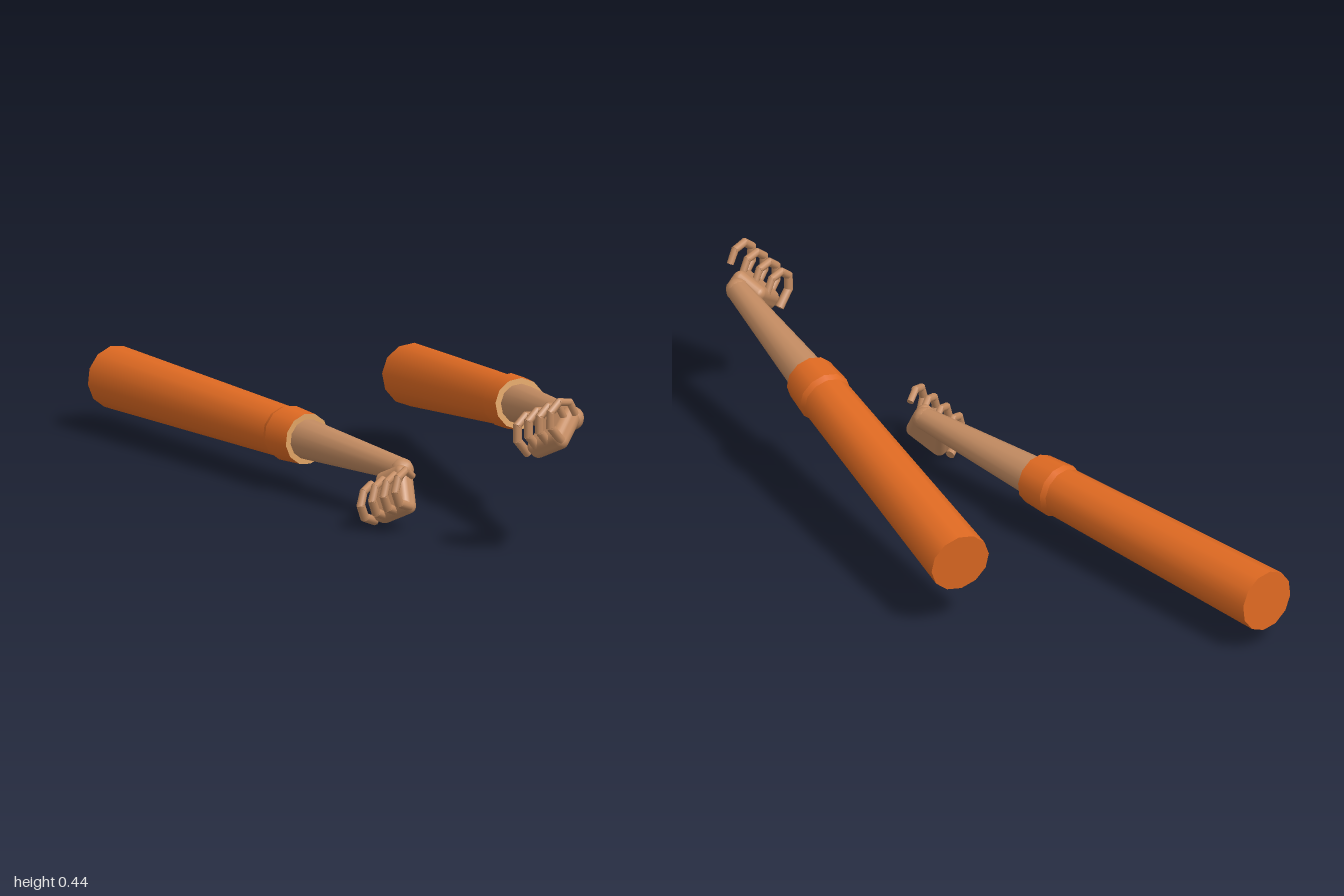
import * as THREE from 'three';
import { RoundedBoxGeometry } from 'three/addons/geometries/RoundedBoxGeometry.js';

const V = (x, y, z) => new THREE.Vector3(x, y, z);
const UP = V(0, 1, 0);
const SIDES = 12;

const paint = (name, color) => Object.assign(new THREE.MeshStandardMaterial({ color }), { name });

function part(name, geometry, material, parent) {
  const mesh = new THREE.Mesh(geometry, material);
  mesh.name = name;
  parent.add(mesh);
  return mesh;
}

// Tapered tube running along +y from y0 to y1
function taper(r0, r1, y0, y1, open = true) {
  return new THREE.CylinderGeometry(r1, r0, y1 - y0, SIDES, 1, open).translate(0, (y0 + y1) / 2, 0);
}

// Sleeve, cuff and forearm between a shoulder point and a wrist point
function buildArm(shoulder, wrist, mats) {
  const arm = new THREE.Group();
  arm.name = 'arm';
  const along = wrist.clone().sub(shoulder);
  const length = along.length();
  const cuff = 0.895;
  part('sleeve', taper(0.083, 0.067, 0, 0.8), mats.sleeve, arm);
  part('sleeveEnd', new THREE.CircleGeometry(0.083, SIDES).rotateX(Math.PI / 2), mats.sleeve, arm);
  part('cuffShoulder', taper(0.066, 0.073, 0.785, 0.805), mats.sleeve, arm);
  part('cuff', taper(0.073, 0.068, 0.805, cuff), mats.sleeve, arm);
  part('cuffRim', new THREE.RingGeometry(0.051, 0.068, SIDES).rotateX(-Math.PI / 2).translate(0, cuff, 0), mats.rim, arm);
  part('forearm', taper(0.054, 0.03, cuff - 0.02, length, false), mats.skin, arm);
  arm.position.copy(shoulder);
  arm.quaternion.setFromUnitVectors(UP, along.normalize());
  return arm;
}

// Half-closed hand with its origin at the wrist
function buildHand(mats) {
  const hand = new THREE.Group();
  hand.name = 'hand';
  const across = V(0.015, 0.06, 0.13).normalize();
  const reach = V(-0.12, -0.085, 0.015);
  reach.addScaledVector(across, -reach.dot(across)).normalize();
  const normal = reach.clone().cross(across);

  // Palm narrows toward the wrist
  const geo = new RoundedBoxGeometry(0.135, 0.13, 0.056, 3, 0.022);
  const p = geo.attributes.position;
  for (let i = 0; i < p.count; i++) p.setY(i, p.getY(i) * (0.87 + p.getX(i) * 1.9));
  const palm = part('palm', geo, mats.skin, hand);
  palm.quaternion.setFromRotationMatrix(new THREE.Matrix4().makeBasis(reach, across, normal));
  palm.position.set(-0.066, -0.026, 0.005);
  part('wrist', new THREE.SphereGeometry(0.031, 12, 8), mats.skin, hand);

  // Four fingers curling up and back over the palm
  const curl = [[-0.112, -0.055], [-0.146, -0.018], [-0.146, 0.022], [-0.117, 0.045], [-0.079, 0.039], [-0.061, 0.008]];
  for (let f = 0; f < 4; f++) {
    const finger = new THREE.Group();
    finger.name = 'finger' + (f + 1);
    finger.position.set(0, 0, 0.012).addScaledVector(across, (f - 1.5) * 0.042);
    for (let i = 0; i < curl.length - 1; i++) {
      const a = V(...curl[i], 0), b = V(...curl[i + 1], 0);
      const d = b.clone().sub(a);
      const r = 0.0125 - i * 0.0006;
      const bone = part('fingerJoint', new THREE.CylinderGeometry(r - 0.0006, r, d.length() + 0.008, 8), mats.skin, finger);
      bone.position.copy(a).add(b).multiplyScalar(0.5);
      bone.quaternion.setFromUnitVectors(UP, d.normalize());
    }
    hand.add(finger);
  }
  return hand;
}

export function createModel() {
  const model = new THREE.Group();
  model.name = 'armPair';
  const mats = {
    sleeve: paint('orange sleeve', 0xe06a22),
    rim: paint('light tan rim', 0xe0a363),
    skin: paint('skin', 0xc48c62),
  };
  const arms = [
    { name: 'leftArm', shoulder: V(0.342, 0.174, -0.305), wrist: V(-0.192, 0.343, 0.9), turn: [0, 0, 0] },
    { name: 'rightArm', shoulder: V(-0.088, 0.12, -0.986), wrist: V(-0.277, 0.123, 0.335), turn: [0.12, 0.25, 0.47] },
  ];
  for (const { name, shoulder, wrist, turn } of arms) {
    const side = new THREE.Group();
    side.name = name;
    const hand = buildHand(mats);
    hand.position.copy(wrist);
    hand.rotation.set(...turn, 'ZXY');
    side.add(buildArm(shoulder, wrist, mats), hand);
    model.add(side);
  }
  return model;
}
